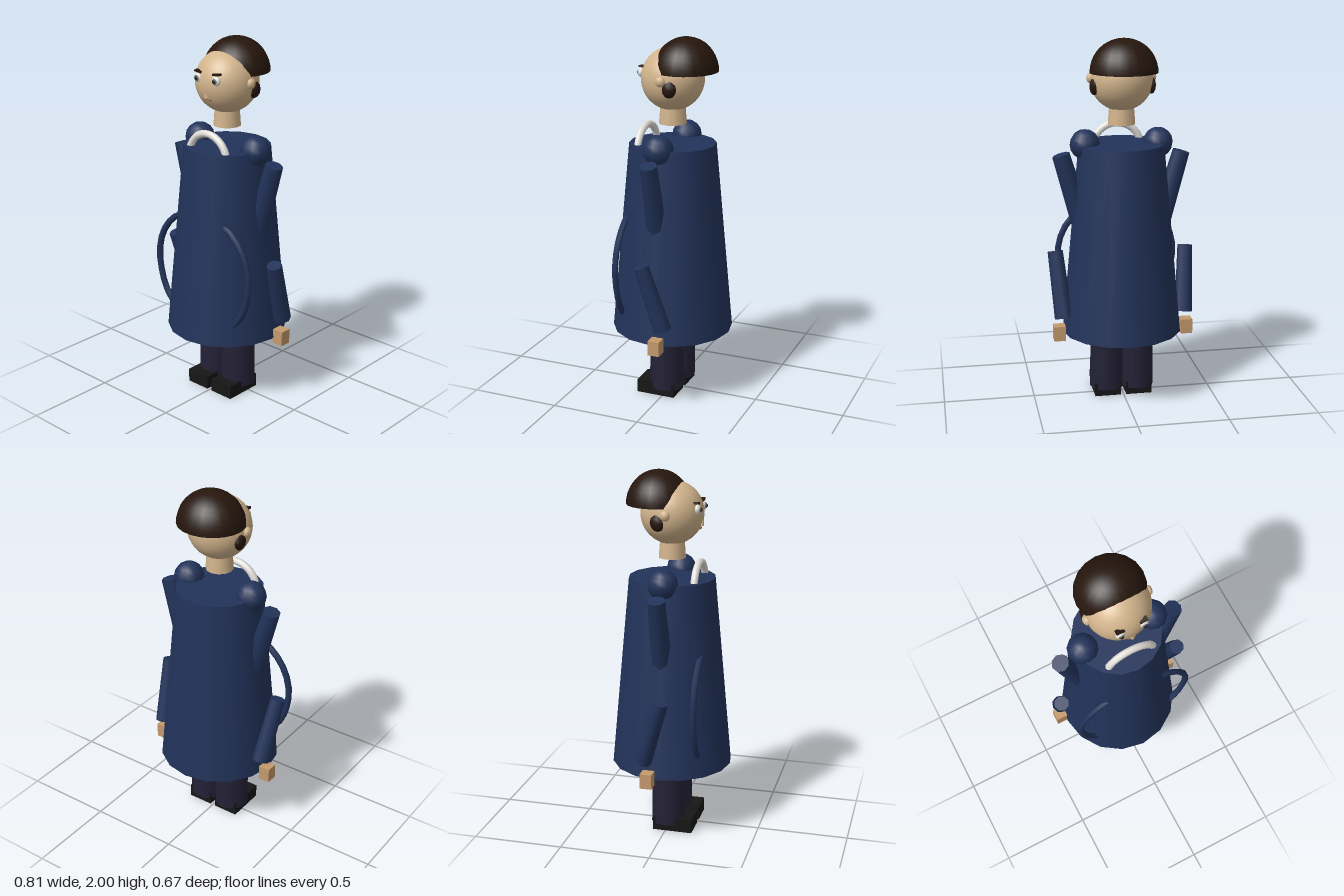
import * as THREE from 'three';

const mat = (color, side = THREE.FrontSide) => new THREE.MeshStandardMaterial({ color, side });
const navy = mat(0x22335a), trousers = mat(0x232136), black = mat(0x161616);
const skin = mat(0xd2b48c), tan = mat(0xc49a6c), white = mat(0xe4e0da);
const brown = mat(0x26160d, THREE.DoubleSide), grey = mat(0x6a6a6a), lip = mat(0x9a6a58);

export function createModel() {
  const model = new THREE.Group();
  model.name = 'coatedFigure';

  const add = (name, geometry, material, x = 0, y = 0, z = 0) => {
    const mesh = new THREE.Mesh(geometry, material);
    mesh.name = name;
    mesh.position.set(x, y, z);
    model.add(mesh);
    return mesh;
  };
  const ball = (r, w = 16, h = 12) => new THREE.SphereGeometry(r, w, h);

  // Tapered cylinder running from point a (top) to point b (bottom)
  const limb = (name, a, b, rTop, rBottom, material, sides) => {
    const top = new THREE.Vector3(...a), bottom = new THREE.Vector3(...b);
    const axis = top.clone().sub(bottom);
    const mesh = add(name, new THREE.CylinderGeometry(rTop, rBottom, axis.length(), sides), material);
    mesh.position.copy(top).add(bottom).multiplyScalar(0.5);
    mesh.quaternion.setFromUnitVectors(new THREE.Vector3(0, 1, 0), axis.normalize());
  };

  // Coat and neck
  add('coat', new THREE.CylinderGeometry(0.235, 0.333, 1.05, 16), navy, 0, 0.905, 0);
  add('neck', new THREE.CylinderGeometry(0.066, 0.075, 0.12, 12), skin, 0, 1.595, 0);

  // Collar arch standing out of the coat
  add('collar', new THREE.TorusGeometry(0.135, 0.02, 8, 16, Math.PI), white, 0, 1.38, 0.15);

  // Head and hair cap
  add('head', ball(0.17, 32, 24), skin, 0, 1.777, 0);
  const hair = add('hair', new THREE.SphereGeometry(1, 20, 10, 0, Math.PI * 2, 0, Math.PI / 2), brown, 0, 1.82, -0.075);
  hair.scale.set(0.183, 0.18, 0.172);

  // Nose and mouth
  const nose = add('nose', new THREE.ConeGeometry(0.014, 0.035, 8), skin, 0, 1.732, 0.164);
  nose.rotation.x = 0.35;
  add('mouth', new THREE.BoxGeometry(0.045, 0.009, 0.012), lip, 0, 1.699, 0.15);

  for (const s of [-1, 1]) {
    // Face
    const eye = add('eye', ball(0.026), white, s * 0.063, 1.808, 0.152);
    eye.scale.z = 0.7;
    const iris = add('iris', ball(0.016, 12, 8), grey, s * 0.063, 1.808, 0.165);
    iris.scale.z = 0.5;
    const pupil = add('pupil', ball(0.01, 10, 8), black, s * 0.063, 1.808, 0.171);
    pupil.scale.z = 0.6;
    const brow = add('eyebrow', new THREE.BoxGeometry(0.045, 0.011, 0.025), brown, s * 0.063, 1.841, 0.147);
    brow.rotation.z = s * 0.12;
    const ear = add('ear', ball(0.028, 12, 8), skin, s * 0.168, 1.785, 0.002);
    ear.scale.x = 0.75;
    const sideburn = add('sideburn', ball(1, 8, 6), brown, s * 0.153, 1.745, -0.04);
    sideburn.scale.set(0.026, 0.046, 0.042);

    // Arms
    add('shoulder', ball(0.082, 12, 8), navy, s * 0.2, 1.43, 0);
    limb('upperArm', [s * 0.33, 1.377, 0], [s * 0.2, 0.93, 0], 0.048, 0.06, navy, 8);
    limb('forearm', [s * 0.365, 0.835, 0.03], [s * 0.335, 0.48, -0.08], 0.042, 0.05, navy, 8);
    add('hand', new THREE.BoxGeometry(0.065, 0.082, 0.065), tan, s * 0.357, 0.388, -0.048);

    // Curved coat trim bowing out of the side
    const path = [[0.08, 1.06], [0.16, 1.045], [0.255, 0.97], [0.31, 0.88], [0.332, 0.77],
      [0.315, 0.65], [0.285, 0.57], [0.24, 0.51], [0.19, 0.46]];
    const curve = new THREE.CatmullRomCurve3(path.map(([x, y]) => new THREE.Vector3(s * x, y, 0.197)));
    add('coatTrim', new THREE.TubeGeometry(curve, 12, 0.018, 6), navy);

    // Legs and shoes
    add('leg', new THREE.CylinderGeometry(0.09, 0.096, 0.5, 12), trousers, s * 0.085, 0.29, 0);
    add('shoe', new THREE.BoxGeometry(0.145, 0.075, 0.22), black, s * 0.088, 0.0375, 0.04);
  }
  return model;
}
